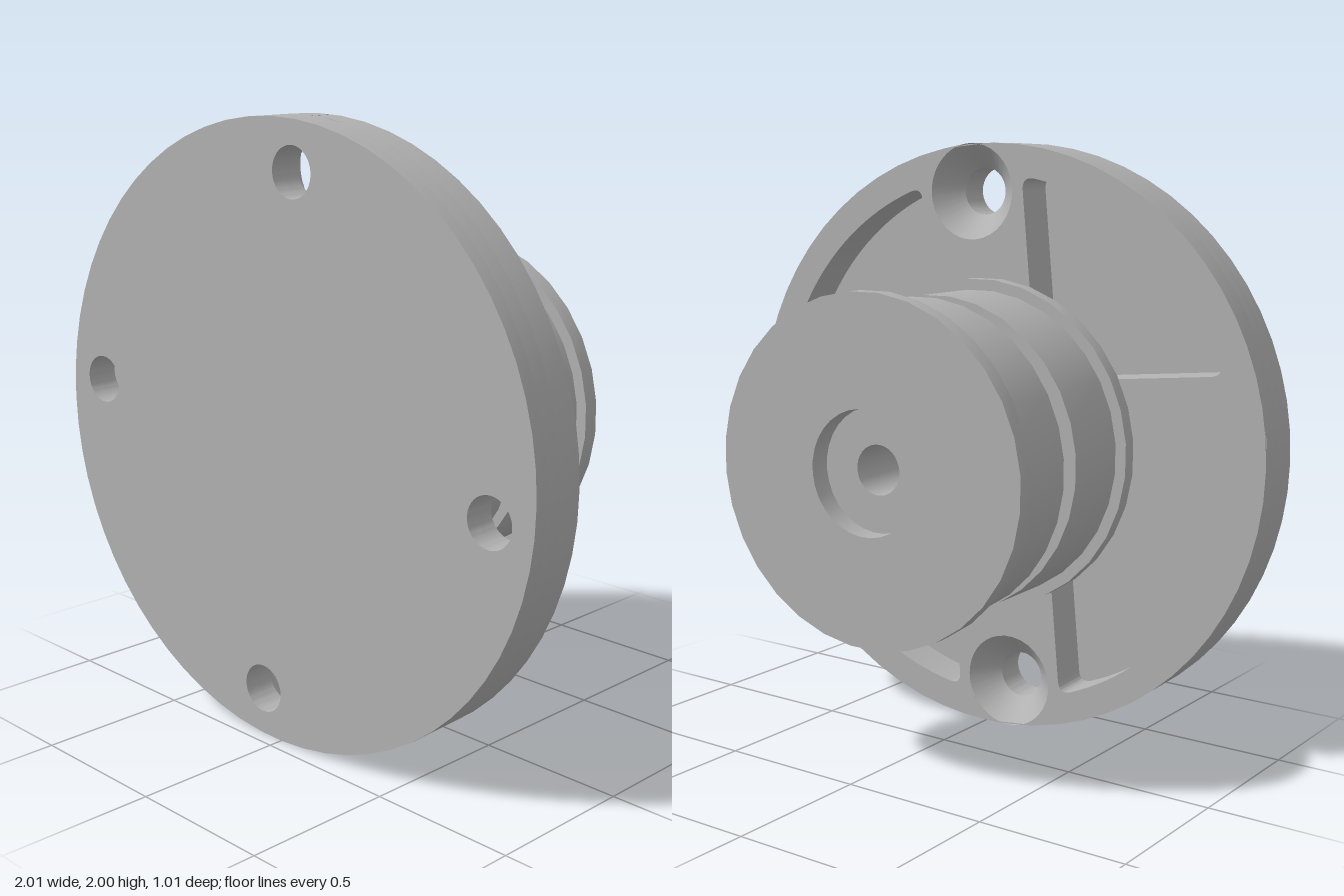
import * as THREE from 'three';
import { toCreasedNormals } from 'three/addons/utils/BufferGeometryUtils.js';

const BOLT_CIRCLE = 0.845, HOLE = 0.08, SINK = 0.16;
const POCKET_FLOOR = 0.05, SINK_START = 0.11, PLATE = 0.2;

export function createModel() {
  const grey = new THREE.MeshStandardMaterial({ color: 0xb2b2b2 });
  grey.name = 'metal grey';

  const model = new THREE.Group();
  model.name = 'flangedSpool';

  const add = (name, geometry) => {
    const mesh = new THREE.Mesh(toCreasedNormals(geometry, 0.5), grey);
    mesh.name = name;
    model.add(mesh);
    return mesh;
  };

  // Turned parts: profile of [radius, distance behind the front face]
  const turned = (profile, segments) =>
    new THREE.LatheGeometry(profile.map(([r, s]) => new THREE.Vector2(r, s)), segments).rotateX(-Math.PI / 2);

  const circlePath = (x, y, r) => new THREE.Path().absarc(x, y, r, 0, Math.PI * 2, true);

  // Rounded pocket between two ribs, turned by quarter turns
  const pocketPath = (turn) => {
    const p = new THREE.Path();
    const a = 0.277;
    p.moveTo(0.346, 0.2);
    p.lineTo(0.83, 0.2);
    p.quadraticCurveTo(0.877, 0.2, 0.9 * Math.cos(a), 0.9 * Math.sin(a));
    p.absarc(0, 0, 0.9, a, Math.PI / 2 - a, false);
    p.quadraticCurveTo(0.2, 0.877, 0.2, 0.83);
    p.lineTo(0.2, 0.346);
    p.absarc(0, 0, 0.4, Math.PI / 3, Math.PI / 6, true);
    const c = Math.cos(turn), s = Math.sin(turn);
    return new THREE.Path(p.getPoints(12).map((v) => new THREE.Vector2(v.x * c - v.y * s, v.x * s + v.y * c)));
  };

  const quarters = [0, 1, 2, 3].map((i) => (i * Math.PI) / 2);

  // Plate is stacked from three slices with different openings
  const plateSlice = (name, start, end, holeRadius, pockets) => {
    const shape = new THREE.Shape().absarc(0, 0, 1.002, 0, Math.PI * 2, false);
    for (const q of quarters) {
      shape.holes.push(circlePath(BOLT_CIRCLE * Math.cos(q), BOLT_CIRCLE * Math.sin(q), holeRadius));
      if (pockets) shape.holes.push(pocketPath(q));
    }
    const geometry = new THREE.ExtrudeGeometry(shape, { depth: end - start, bevelEnabled: false, curveSegments: 32 });
    add(name, geometry.translate(0, 0, -end));
  };
  plateSlice('plateFace', 0, POCKET_FLOOR, HOLE, false);
  plateSlice('plateRibsInner', POCKET_FLOOR, SINK_START, HOLE, true);
  plateSlice('plateRibsOuter', SINK_START, PLATE, SINK, true);

  // Countersinks around the bolt holes
  for (const q of quarters) {
    const cone = add('countersink', turned([[SINK, PLATE], [HOLE, SINK_START]], 32));
    cone.position.set(BOLT_CIRCLE * Math.cos(q), BOLT_CIRCLE * Math.sin(q), 0);
  }

  // Spool: boss, rim, drum, neck, drum, rim, then counterbore and bore
  add('spool', turned([
    [0.3, 0.19], [0.3, 0.22],
    [0.557, 0.22], [0.557, 0.272],
    [0.52, 0.272], [0.52, 0.535],
    [0.2, 0.535], [0.2, 0.61],
    [0.52, 0.61], [0.52, 0.87],
    [0.557, 0.87], [0.557, 0.928],
    [0.2, 0.928], [0.2, 0.855],
    [0.08, 0.855], [0.08, 0.21], [0, 0.21],
  ], 32));

  // Slight turn of the whole part
  model.rotation.set(0, 0.0506, -0.094);
  model.position.set(0, 1, 0.452);

  const root = new THREE.Group();
  root.name = 'model';
  root.add(model);
  return root;
}
